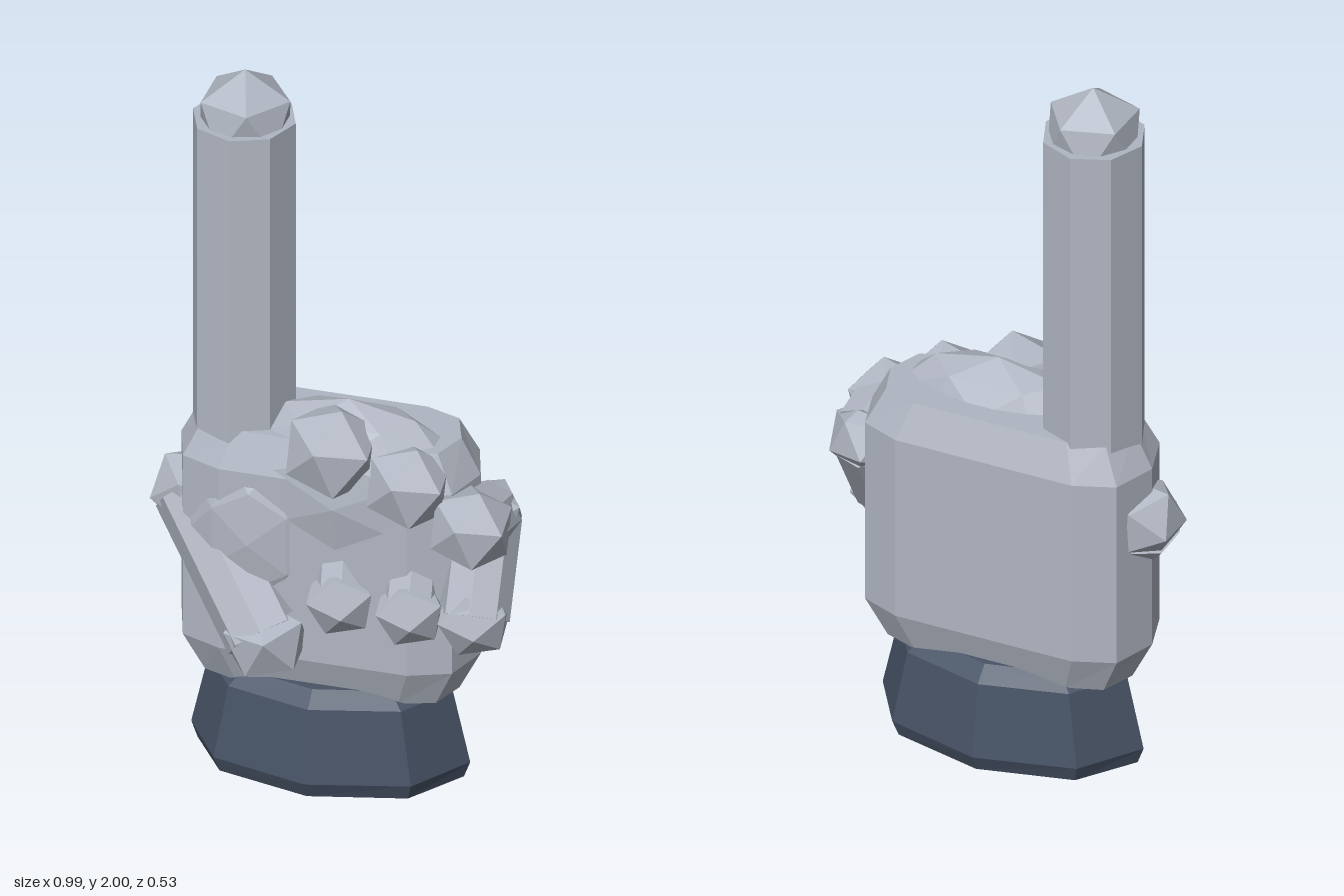
import * as THREE from 'three';

const V = (x, y, z) => new THREE.Vector3(x, y, z);

// Split all faces so every facet gets its own flat normal
function faceted(geo) {
  const g = geo.index ? geo.toNonIndexed() : geo;
  g.computeVertexNormals();
  return g;
}

// Closed solid through scaled copies of one outline, stacked upwards
// levels: [y, half width, half depth]
function loft(outline, levels, cx, cz) {
  const pos = [], index = [], n = outline.length;
  for (const [y, w, d] of levels)
    for (const [u, v] of outline) pos.push(cx + u * w, y, cz + v * d);
  for (let l = 0; l < levels.length - 1; l++)
    for (let i = 0; i < n; i++) {
      const a = l * n + i, b = l * n + (i + 1) % n;
      index.push(a, a + n, b, b, a + n, b + n);
    }
  const top = (levels.length - 1) * n;
  for (let i = 1; i < n - 1; i++) {
    index.push(0, i, i + 1);
    index.push(top, top + i + 1, top + i);
  }
  const g = new THREE.BufferGeometry();
  g.setAttribute('position', new THREE.Float32BufferAttribute(pos, 3));
  g.setIndex(index);
  return faceted(g);
}

// Twenty-sided joint with one corner straight up
function jointGeometry(r) {
  const g = new THREE.IcosahedronGeometry(r, 0);
  g.rotateZ(-Math.atan(2 / (1 + Math.sqrt(5))));
  return g;
}

export function createModel() {
  const glove = new THREE.MeshStandardMaterial({ color: 0xb0b6c2 });
  glove.name = 'gloveGrey';
  const slate = new THREE.MeshStandardMaterial({ color: 0x475366 });
  slate.name = 'cuffSlate';

  const hand = new THREE.Group();
  hand.name = 'pointingHand';

  function add(name, geo, mat = glove, parent = hand) {
    const m = new THREE.Mesh(geo, mat);
    m.name = name;
    parent.add(m);
    return m;
  }
  function joint(name, p, r, parent, tilt = 0, turn = 0) {
    const m = add(name, jointGeometry(r), glove, parent);
    m.position.copy(p);
    m.rotation.set(tilt, 0, turn);
    return m;
  }
  function segment(name, a, b, r, parent) {
    const dir = b.clone().sub(a);
    const m = add(name, faceted(new THREE.CylinderGeometry(r, r, dir.length(), 8)), glove, parent);
    m.position.copy(a).add(b).multiplyScalar(0.5);
    m.quaternion.setFromUnitVectors(V(0, 1, 0), dir.normalize());
    return m;
  }

  // Cuff: flattened octagon flaring towards the bottom
  const octagon = [];
  for (let i = 0; i < 8; i++) {
    const t = -i * Math.PI / 4;
    octagon.push([Math.cos(t), -Math.sin(t)]);
  }
  // outlines run from +x towards +z
  add('cuff', loft(octagon, [
    [0, 0.358, 0.215], [0.045, 0.375, 0.235], [0.25, 0.328, 0.205], [0.29, 0.28, 0.165],
  ], -0.03, -0.035), slate);

  // Palm: bevelled slab
  const slab = [[1, 0], [0.9, 0.74], [0.63, 1], [-0.63, 1], [-0.9, 0.74],
    [-1, 0], [-0.9, -0.74], [-0.63, -1], [0.63, -1], [0.9, -0.74]];
  add('palm', loft(slab, [
    [0.26, 0.345, 0.13], [0.37, 0.402, 0.168], [0.9, 0.402, 0.168], [1.0, 0.35, 0.13],
  ], -0.03, -0.04));

  // Soft swellings over the knuckles and the thumb side
  const ridge = add('knuckleRidge', faceted(new THREE.IcosahedronGeometry(1, 1)));
  ridge.scale.set(0.34, 0.25, 0.15);
  ridge.position.set(0.03, 0.84, 0);
  const pad = add('thumbPad', faceted(new THREE.IcosahedronGeometry(1, 1)));
  pad.scale.set(0.2, 0.27, 0.12);
  pad.position.set(-0.2, 0.7, 0.035);

  // Raised index finger
  const index = new THREE.Group();
  index.name = 'indexFinger';
  hand.add(index);
  segment('indexShaft', V(-0.262, 0.9, -0.035), V(-0.262, 1.862, -0.035), 0.138, index);
  joint('indexTip', V(-0.26, 1.864, -0.035), 0.136, index);

  // Thumb folded across the front
  const thumb = new THREE.Group();
  thumb.name = 'thumb';
  hand.add(thumb);
  const thumbBase = V(-0.4, 0.74, -0.03), thumbEnd = V(-0.15, 0.44, 0.152);
  joint('thumbBase', thumbBase, 0.115, thumb, 0, 0.7);
  segment('thumbShaft', thumbBase, thumbEnd, 0.106, thumb);
  joint('thumbTip', thumbEnd, 0.12, thumb, 0.2, 0.1);

  // Folded fingers: inner joint, knuckle, lower segment and tip
  const folded = [
    ['middleFinger', V(0.02, 0.85, -0.04), V(0.01, 0.98, 0.085), V(0.04, 0.56, 0.11), 0.135, 0.075, 0.1],
    ['ringFinger', V(0.21, 0.82, -0.04), V(0.215, 0.91, 0.085), V(0.225, 0.555, 0.105), 0.122, 0.078, 0.1],
    ['littleFinger', V(0.385, 0.78, -0.045), V(0.385, 0.815, 0.09), V(0.395, 0.555, 0.1), 0.118, 0.094, 0.105],
  ];
  for (const [name, inner, knuckle, tip, rk, rs, rt] of folded) {
    const f = new THREE.Group();
    f.name = name;
    hand.add(f);
    joint('innerJoint', inner, 0.105, f, 0.3);
    segment('upperSegment', inner, knuckle, rs, f);
    joint('knuckle', knuckle, rk, f, 1.2, 0.1);
    segment('lowerSegment', inner, tip, rs, f);
    joint('fingerTip', tip, rt, f, 0.6);
  }
  return hand;
}
